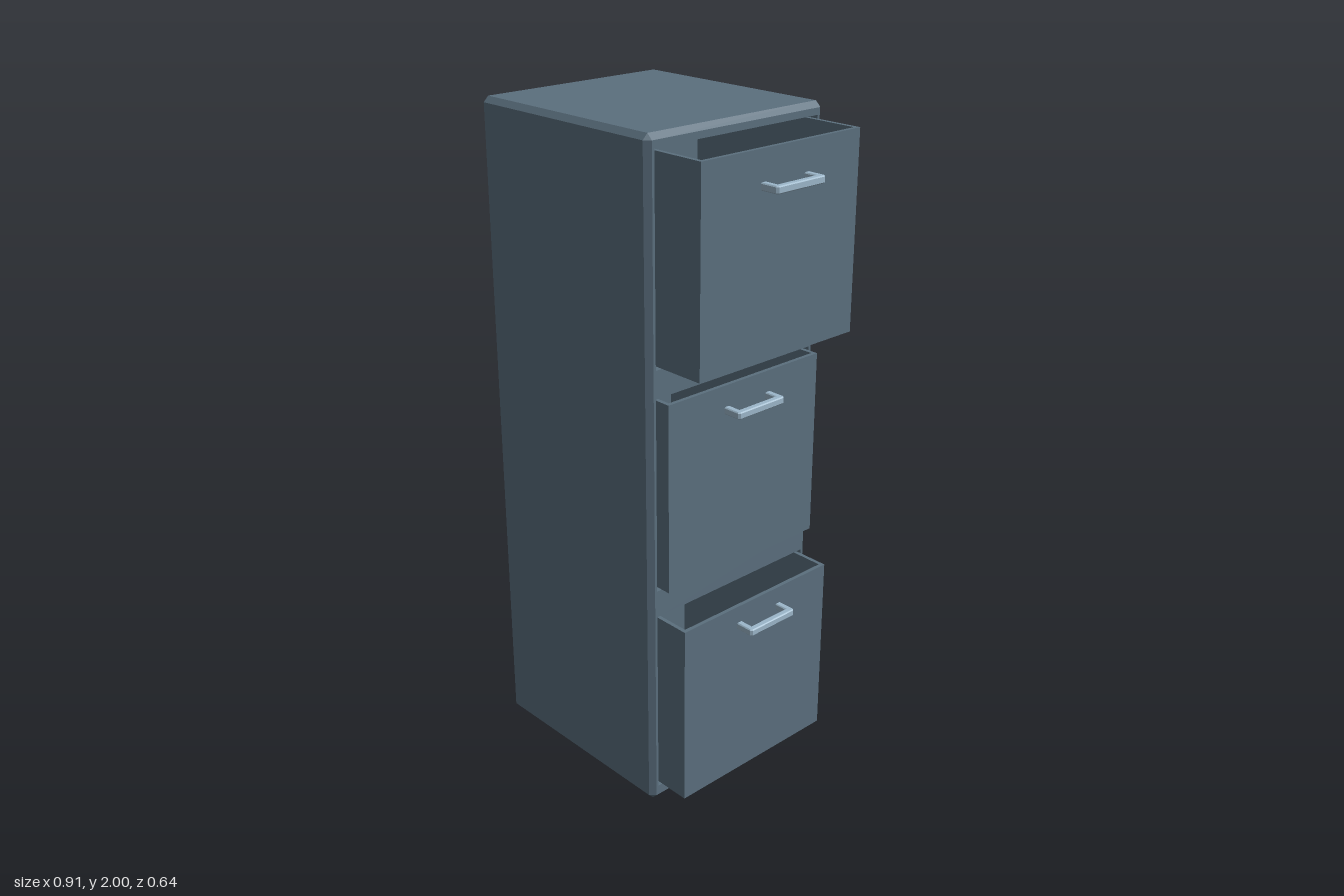
import * as THREE from 'three';
import { ConvexGeometry } from 'three/addons/geometries/ConvexGeometry.js';

const steel = new THREE.MeshStandardMaterial({ name: 'slate steel', color: 0x5b6f7e });
const shade = new THREE.MeshStandardMaterial({ name: 'dark drawer lining', color: 0x46555f });
const metal = new THREE.MeshStandardMaterial({ name: 'pale handle metal', color: 0x9cb7ca });

const BACK = -0.455, FRONT = 0.235, HALF = 0.322, TOP = 2, CHAMFER = 0.016;
const WIDTH = 0.58, GAP = 0.008, LENGTH = 0.62, WALL = 0.012;

// bottom, top, front face and handle height of each drawer
const drawers = [
  { name: 'topDrawer', y0: 1.386, y1: 1.956, x: 0.393, grip: 1.86 },
  { name: 'middleDrawer', y0: 0.722, y1: 1.289, x: 0.275, grip: 1.215 },
  { name: 'bottomDrawer', y0: 0.055, y1: 0.623, x: 0.34, grip: 0.559 },
];

function add(parent, name, geometry, material) {
  const mesh = new THREE.Mesh(geometry, material);
  mesh.name = name;
  parent.add(mesh);
  return mesh;
}

function box(parent, name, x0, x1, y0, y1, z0, z1, material = steel) {
  const geometry = new THREE.BoxGeometry(x1 - x0, y1 - y0, z1 - z0);
  geometry.translate((x0 + x1) / 2, (y0 + y1) / 2, (z0 + z1) / 2);
  return add(parent, name, geometry, material);
}

// Removes the triangles lying wholly in the plane at the given x
function openAt(geometry, x) {
  const source = geometry.index ? geometry.toNonIndexed() : geometry;
  const p = source.attributes.position, kept = [];
  for (let i = 0; i < p.count; i += 3) {
    if ([0, 1, 2].every(k => Math.abs(p.getX(i + k) - x) < 1e-5)) continue;
    for (let k = 0; k < 3; k++) kept.push(p.getX(i + k), p.getY(i + k), p.getZ(i + k));
  }
  const result = new THREE.BufferGeometry();
  result.setAttribute('position', new THREE.Float32BufferAttribute(kept, 3));
  result.computeVertexNormals();
  return result;
}

// Box with every edge cut at an angle
function chamferedBox(x0, x1, y0, y1, z0, z1, c) {
  const points = [];
  for (const [x, sx] of [[x0, 1], [x1, -1]])
    for (const [y, sy] of [[y0, 1], [y1, -1]])
      for (const [z, sz] of [[z0, 1], [z1, -1]])
        points.push(
          new THREE.Vector3(x, y + sy * c, z + sz * c),
          new THREE.Vector3(x + sx * c, y, z + sz * c),
          new THREE.Vector3(x + sx * c, y + sy * c, z));
  return new ConvexGeometry(points);
}

function rectangle(path, x0, x1, y0, y1) {
  path.moveTo(x0, y0).lineTo(x1, y0).lineTo(x1, y1).lineTo(x0, y1).closePath();
  return path;
}

function buildCabinet() {
  const cabinet = new THREE.Group();
  cabinet.name = 'cabinet';
  add(cabinet, 'cabinetShell', openAt(chamferedBox(BACK, FRONT, 0, TOP, -HALF, HALF, CHAMFER), FRONT), steel);

  // Front frame with an opening for each drawer
  const edge = HALF - CHAMFER, w = WIDTH / 2 + GAP;
  const face = rectangle(new THREE.Shape(), -edge, edge, CHAMFER, TOP - CHAMFER);
  for (const d of drawers)
    face.holes.push(rectangle(new THREE.Path(), -w, w, d.y0 - GAP, d.y1 + GAP));
  const frame = new THREE.ShapeGeometry(face);
  frame.rotateY(Math.PI / 2).translate(FRONT, 0, 0);
  add(cabinet, 'frontFrame', frame, steel);

  // Inward-facing drawer cavities
  for (const d of drawers) {
    const back = BACK + 0.03, depth = FRONT - back;
    const cavity = new THREE.BoxGeometry(depth, d.y1 - d.y0 + 2 * GAP, 2 * w);
    cavity.scale(-1, 1, 1).translate((FRONT + back) / 2, (d.y0 + d.y1) / 2, 0);
    add(cabinet, 'drawerCavity', openAt(cavity, FRONT), steel);
  }
  return cabinet;
}

// U-shaped pull, lying flat and open towards the drawer
function handleGeometry() {
  const b = 0.003, reach = 0.058, half = 0.09, bar = 0.02, c = 0.004;
  const o = half - b, i = half - bar + b, out = reach - b, inn = reach - bar + b;
  const shape = new THREE.Shape([
    [0, -o], [out - c, -o], [out, -o + c], [out, o - c], [out - c, o], [0, o],
    [0, i], [inn, i], [inn, -i], [0, -i],
  ].map(([x, y]) => new THREE.Vector2(x, y)));
  const geometry = new THREE.ExtrudeGeometry(shape, {
    depth: 0.015, bevelEnabled: true, bevelThickness: b, bevelSize: b, bevelSegments: 1,
  });
  return geometry.translate(0, 0, -0.0075).rotateX(-Math.PI / 2);
}

function buildDrawer({ name, y0, y1, x }) {
  const drawer = new THREE.Group();
  drawer.name = name;
  const w = WIDTH / 2, rear = x - LENGTH;
  box(drawer, 'drawerFront', x - WALL, x, y0, y1, -w, w);
  box(drawer, 'drawerBack', rear, rear + WALL, y0, y1, -w, w);
  for (const s of [-1, 1]) {
    const z = s * (w - WALL / 2);
    box(drawer, 'drawerSide', rear + WALL, x - WALL, y0, y1, z - WALL / 2, z + WALL / 2);
  }
  box(drawer, 'drawerBottom', rear + WALL, x - WALL, y0, y0 + WALL, -w + WALL, w - WALL);
  box(drawer, 'drawerLining', rear + WALL, x - WALL, y0 + WALL, y0 + WALL + 0.004, -w + WALL, w - WALL, shade);
  return drawer;
}

export function createModel() {
  const model = new THREE.Group();
  model.name = 'filingCabinet';
  model.add(buildCabinet());
  const pull = handleGeometry();
  for (const d of drawers) {
    const drawer = buildDrawer(d);
    add(drawer, 'handle', pull, metal).position.set(d.x, d.grip, -0.008);
    model.add(drawer);
  }
  return model;
}
